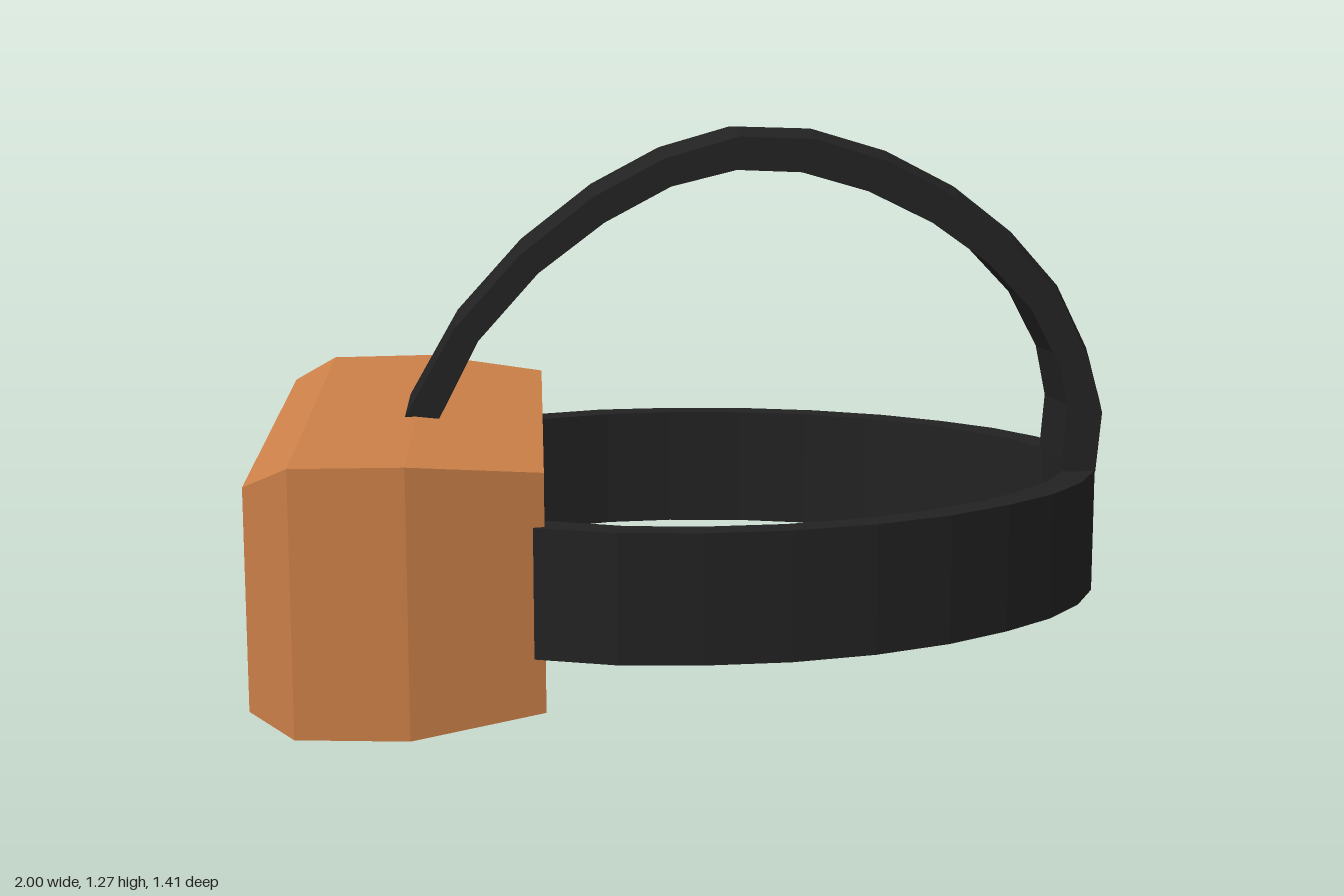
import * as THREE from 'three';

const orange = new THREE.MeshStandardMaterial({ color: 0xcc8048, flatShading: true });
const black = new THREE.MeshStandardMaterial({ color: 0x222222, flatShading: true });

// Skin a row of closed rings and cap both ends
function loft(name, rings, material) {
  const pos = [];
  const tri = (a, b, c) => pos.push(...a, ...b, ...c);
  const n = rings[0].length;
  for (let s = 0; s < rings.length - 1; s++) {
    for (let j = 0; j < n; j++) {
      const k = (j + 1) % n, a = rings[s], b = rings[s + 1];
      tri(a[j], a[k], b[k]);
      tri(a[j], b[k], b[j]);
    }
  }
  const first = rings[0], last = rings[rings.length - 1];
  for (let j = 1; j < n - 1; j++) {
    tri(first[0], first[j + 1], first[j]);
    tri(last[0], last[j], last[j + 1]);
  }
  const geo = new THREE.BufferGeometry();
  geo.setAttribute('position', new THREE.Float32BufferAttribute(pos, 3));
  geo.computeVertexNormals();
  const mesh = new THREE.Mesh(geo, material);
  mesh.name = name;
  return mesh;
}

export function createModel() {
  const group = new THREE.Group();
  group.name = 'headset';

  // Visor housing: x, bottom, top, half width; the last two rings form the recess
  const housing = [
    [-1, 0.055, 0.555, 0.64],
    [-0.9, 0.005, 0.605, 0.69],
    [-0.65, 0, 0.607, 0.7],
    [-0.355, 0.035, 0.575, 0.625],
    [-0.355, 0.105, 0.505, 0.555],
    [-0.575, 0.105, 0.505, 0.555],
  ].map(([x, lo, hi, w]) => [[x, hi, -w], [x, hi, w], [x, lo, w], [x, lo, -w]]);
  group.add(loft('visorHousing', housing, orange));

  // Divider between the two eye recesses
  const divider = new THREE.Mesh(new THREE.BoxGeometry(0.12, 0.4, 0.075), orange);
  divider.name = 'eyeDivider';
  divider.position.set(-0.52, 0.305, 0.0025);
  group.add(divider);

  // Head band: outer x, z and inner x, z for the left half, then mirrored
  const half = [
    [-0.38, 0.635, -0.36, 0.565],
    [-0.2, 0.69, -0.18, 0.627],
    [-0.015, 0.703, -0.015, 0.643],
    [0.18, 0.69, 0.17, 0.63],
    [0.37, 0.645, 0.34, 0.59],
    [0.545, 0.572, 0.495, 0.525],
    [0.69, 0.48, 0.635, 0.44],
    [0.81, 0.38, 0.74, 0.345],
    [0.9, 0.265, 0.83, 0.24],
    [0.96, 0.135, 0.888, 0.125],
    [0.982, 0, 0.912, 0],
  ];
  const mirrored = half.slice(0, -1).reverse().map(([a, b, c, d]) => [a, -b, c, -d]);
  const band = [...half, ...mirrored].map(([ox, oz, ix, iz]) =>
    [[ox, 0.455, oz], [ox, 0.16, oz], [ix, 0.16, iz], [ix, 0.455, iz]]);
  group.add(loft('headBand', band, black));

  // Top strap: outer x, y and inner x, y, slightly crowned towards the back
  const arch = [
    [-0.68, 0.6, -0.61, 0.575],
    [-0.56, 0.815, -0.505, 0.785],
    [-0.405, 0.99, -0.365, 0.945],
    [-0.235, 1.125, -0.21, 1.065],
    [-0.07, 1.215, -0.055, 1.15],
    [0.105, 1.267, 0.1, 1.19],
    [0.285, 1.262, 0.255, 1.185],
    [0.465, 1.208, 0.415, 1.14],
    [0.63, 1.122, 0.57, 1.065],
    [0.77, 1.012, 0.705, 0.97],
    [0.885, 0.882, 0.815, 0.855],
    [0.96, 0.73, 0.89, 0.715],
    [0.997, 0.6, 0.918, 0.59],
    [0.987, 0.452, 0.91, 0.452],
  ];
  const w = 0.145;
  const strap = arch.map(([ox, oy, ix, iy], i) => {
    // the strap edges drop towards the inside of the arch
    const t = i / (arch.length - 1), drop = 0.028 * t;
    const len = Math.hypot(ox - ix, oy - iy);
    const dx = (ix - ox) / len * drop, dy = (iy - oy) / len * drop;
    return [
      [ox, oy, 0], [ox + dx, oy + dy, w], [ix + dx, iy + dy, w],
      [ix, iy, 0], [ix + dx, iy + dy, -w], [ox + dx, oy + dy, -w],
    ];
  });
  group.add(loft('topStrap', strap, black));

  return group;
}
